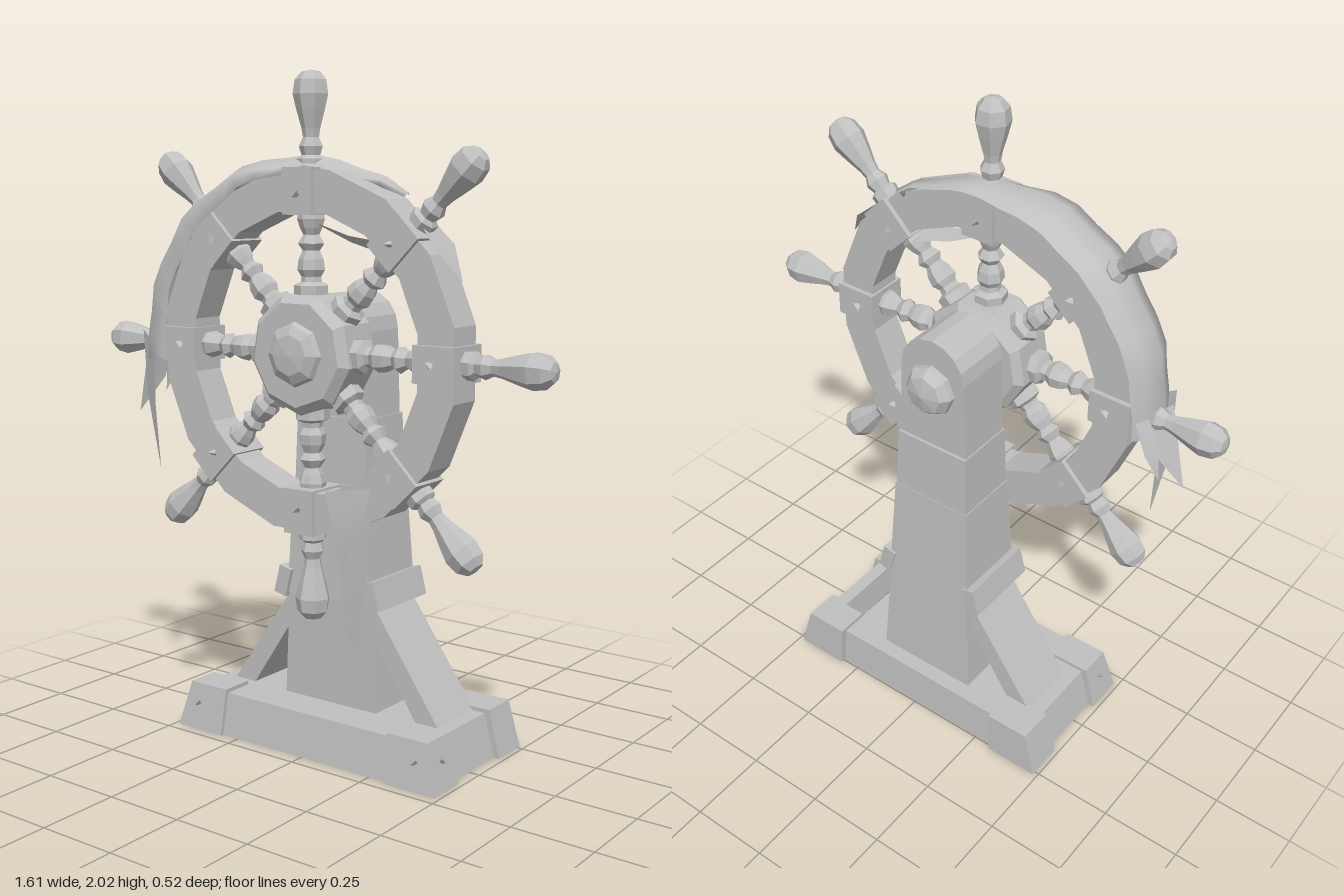
import * as THREE from 'three';

const grey = new THREE.MeshStandardMaterial({ color: 0xc0c0c0, flatShading: true });
grey.name = 'plain grey';
const cloth = new THREE.MeshStandardMaterial({ color: 0xc0c0c0, side: THREE.DoubleSide });
cloth.name = 'cloth grey';

function add(parent, name, geometry, material = grey) {
  const mesh = new THREE.Mesh(geometry, material);
  mesh.name = name;
  parent.add(mesh);
  return mesh;
}

// Box whose bottom and top rectangles [x0, x1, z0, z1] differ
function frustum(y0, a, y1, b) {
  const g = new THREE.BoxGeometry(1, 1, 1);
  const p = g.attributes.position;
  for (let i = 0; i < p.count; i++) {
    const top = p.getY(i) > 0;
    const r = top ? b : a;
    p.setXYZ(i, p.getX(i) > 0 ? r[1] : r[0], top ? y1 : y0, p.getZ(i) > 0 ? r[3] : r[2]);
  }
  g.computeVertexNormals();
  return g;
}

function lathe(points, sides) {
  return new THREE.LatheGeometry(points.map(([r, y]) => new THREE.Vector2(r, y)), sides);
}

function polygon(path, radius, sides, offset) {
  for (let i = 0; i < sides; i++) {
    const a = offset + (i / sides) * Math.PI * 2;
    path[i ? 'lineTo' : 'moveTo'](Math.cos(a) * radius, Math.sin(a) * radius);
  }
  path.closePath();
  return path;
}

// Surface through a grid of points given by rows
function sheet(rows) {
  const n = rows[0].length, index = [];
  for (let i = 0; i < rows.length - 1; i++)
    for (let j = 0; j < n - 1; j++) {
      const a = i * n + j, b = a + n;
      index.push(a, b, a + 1, b, b + 1, a + 1);
    }
  const g = new THREE.BufferGeometry();
  g.setAttribute('position', new THREE.Float32BufferAttribute(rows.flat(2), 3));
  g.setIndex(index);
  g.computeVertexNormals();
  return g;
}

function buildBase(root) {
  const base = new THREE.Group();
  base.name = 'base';
  add(base, 'basePlank', frustum(0, [-0.465, 0.465, -0.245, 0.205], 0.132, [-0.43, 0.43, -0.235, 0.185]));
  for (const s of [-1, 1]) {
    const span = (a, b) => (s > 0 ? [a, b] : [-b, -a]);
    // Corner clamps with nails
    add(base, 'backCorner', frustum(0, [...span(0.31, 0.485), -0.262, -0.14], 0.145, [...span(0.305, 0.447), -0.255, -0.14]));
    add(base, 'frontCorner', frustum(0, [...span(0.31, 0.485), 0.09, 0.217], 0.145, [...span(0.305, 0.447), 0.09, 0.195]));
    add(base, 'cornerNail', new THREE.TetrahedronGeometry(0.016)).position.set(s * 0.41, 0.085, 0.205);
    add(base, 'sideNail', new THREE.TetrahedronGeometry(0.016)).position.set(s * 0.464, 0.085, 0.15);
    // Sloping brace and its cap on the post
    const brace = new THREE.Shape();
    brace.moveTo(s * 0.395, 0.12).lineTo(s * 0.16, 0.455).lineTo(s * 0.13, 0.40).lineTo(s * 0.315, 0.12);
    const braceGeo = new THREE.ExtrudeGeometry(brace, { depth: 0.2, bevelEnabled: false });
    add(base, 'brace', braceGeo).position.z = -0.15;
    const cap = add(base, 'braceCap', new THREE.BoxGeometry(0.045, 0.09, 0.255));
    cap.position.set(s * 0.165, 0.495, -0.043);
    cap.rotation.z = s * 0.25;
  }
  root.add(base);
}

function buildPost(root) {
  const post = new THREE.Group();
  post.name = 'post';
  add(post, 'postFoot', frustum(0.12, [-0.172, 0.172, -0.185, 0.06], 0.46, [-0.152, 0.152, -0.168, 0.066]));
  add(post, 'postMiddle', frustum(0.46, [-0.155, 0.155, -0.168, 0.072], 0.82, [-0.134, 0.134, -0.151, 0.064]));
  add(post, 'postUpper', frustum(0.82, [-0.131, 0.131, -0.149, 0.06], 1.02, [-0.124, 0.124, -0.142, 0.056]));
  // Rounded head
  const head = new THREE.Shape();
  head.moveTo(-0.12, 1.02).lineTo(0.12, 1.02).lineTo(0.112, 1.275);
  for (let i = 1; i <= 8; i++) {
    const a = (i / 8) * Math.PI;
    head.lineTo(Math.cos(a) * 0.112, 1.275 + Math.sin(a) * 0.112);
  }
  const headGeo = new THREE.ExtrudeGeometry(head, { depth: 0.183, bevelEnabled: false, curveSegments: 1 });
  add(post, 'postHead', headGeo).position.z = -0.133;
  // Axle knob at the back
  const knob = add(post, 'backKnob', lathe([[0.082, -0.02], [0.08, 0.02], [0.06, 0.047], [0, 0.06]], 8));
  knob.position.set(0, 1.225, -0.13);
  knob.rotation.x = -Math.PI / 2;
  root.add(post);
}

function buildWheel(root) {
  const wheel = new THREE.Group();
  wheel.name = 'wheel';
  wheel.position.set(0, 1.22, 0.145);
  const rim = polygon(new THREE.Shape(), 0.532, 16, Math.PI / 16);
  rim.holes.push(polygon(new THREE.Path(), 0.412, 16, Math.PI / 16));
  add(wheel, 'rim', new THREE.ExtrudeGeometry(rim, { depth: 0.11, bevelEnabled: false })).position.z = -0.055;

  const spindle = lathe([[0.05, 0.15], [0.052, 0.195], [0.032, 0.205], [0.03, 0.22], [0.042, 0.24], [0.038, 0.27],
    [0.026, 0.295], [0.04, 0.315], [0.024, 0.34], [0.034, 0.36], [0.042, 0.385], [0.036, 0.42]], 7);
  const handle = lathe([[0.04, 0.5], [0.042, 0.555], [0.028, 0.565], [0.036, 0.59], [0.024, 0.615], [0.028, 0.64],
    [0.042, 0.69], [0.053, 0.735], [0.047, 0.775], [0.028, 0.797], [0, 0.803]], 7);
  for (let i = 0; i < 8; i++) {
    const spoke = new THREE.Group();
    spoke.name = 'spoke';
    spoke.rotation.z = (i * Math.PI) / 4;
    add(spoke, 'spindle', spindle).rotation.y = i;
    add(spoke, 'handle', handle).rotation.y = i * 0.7;
    add(spoke, 'rimBlock', new THREE.BoxGeometry(0.105, 0.134, 0.14)).position.y = 0.464;
    for (const z of [-0.072, 0.072])
      add(spoke, 'nail', new THREE.TetrahedronGeometry(0.017)).position.set(0, 0.455, z);
    wheel.add(spoke);
  }

  // Hub with front boss
  const hub = add(wheel, 'hub', lathe([[0, -0.09], [0.155, -0.09], [0.18, -0.07], [0.18, 0.055], [0.155, 0.08], [0, 0.08]], 9));
  hub.rotation.x = Math.PI / 2;
  const boss = add(wheel, 'frontKnob', lathe([[0.1, 0.07], [0.088, 0.095], [0.06, 0.11], [0, 0.116]], 8));
  boss.rotation.x = Math.PI / 2;
  root.add(wheel);
}

function buildCloth(root) {
  const group = new THREE.Group();
  group.name = 'tornCloth';
  // Cloth draped over the outside of the rim
  const rows = [], steps = 16;
  for (let i = 0; i <= steps; i++) {
    const t = i / steps;
    const a = THREE.MathUtils.degToRad(58 + 127 * t);
    const grow = Math.min(1, t * 1.8), open = Math.min(1, t * 2.6);
    const r = 0.535 + 0.045 * grow + 0.006 * Math.sin(i * 2.1);
    const section = [[r - 0.075 * grow, 0.088], [r - 0.022, 0.1], [r + 0.008, 0.03], [r, -0.045], [r - 0.03 * grow, -0.085]];
    rows.push(section.map(([q, z]) => [
      Math.cos(a) * q, 1.22 + Math.sin(a) * q, 0.145 - 0.085 + (z + 0.085) * (0.15 + 0.85 * open)]));
  }
  add(group, 'drape', sheet(rows), cloth);

  // Hanging shreds, each a strip narrowing to a point
  const shreds = [
    [[-0.585, 1.26, 0.24], [-0.53, 1.22, 0.25], [-0.6, 1.05, 0.21], [-0.55, 1.03, 0.23], [-0.56, 0.82, 0.2], [-0.56, 0.82, 0.2]],
    [[-0.6, 1.24, 0.2], [-0.57, 1.24, 0.11], [-0.64, 1.12, 0.18], [-0.61, 1.1, 0.12], [-0.675, 0.99, 0.17], [-0.675, 0.99, 0.17]],
    [[-0.58, 1.24, 0.1], [-0.56, 1.24, 0.06], [-0.62, 1.15, 0.1], [-0.6, 1.14, 0.06], [-0.635, 1.05, 0.09], [-0.635, 1.05, 0.09]],
    [[0.1, 0.83, 0.215], [0.265, 0.86, 0.215], [0.13, 0.74, 0.225], [0.235, 0.75, 0.225], [0.175, 0.64, 0.22], [0.175, 0.64, 0.22]],
    [[0.12, 0.76, 0.205], [0.255, 0.8, 0.205], [0.15, 0.55, 0.205], [0.245, 0.6, 0.21], [0.18, 0.375, 0.2], [0.215, 0.375, 0.2]],
    [[0, 1.6, 0.15], [0, 1.6, 0.15], [0.15, 1.56, 0.17], [0.13, 1.54, 0.13], [0.33, 1.54, 0.2], [0.3, 1.49, 0.11]],
    [[0.37, 1.62, 0.16], [0.36, 1.61, 0.07], [0.445, 1.54, 0.19], [0.445, 1.54, 0.08], [0.51, 1.44, 0.14], [0.51, 1.44, 0.14]],
  ];
  for (const p of shreds)
    add(group, 'shred', sheet([[p[0], p[1]], [p[2], p[3]], [p[4], p[5]]]), cloth);
  root.add(group);
}

export function createModel() {
  const root = new THREE.Group();
  root.name = 'shipWheel';
  buildBase(root);
  buildPost(root);
  buildWheel(root);
  buildCloth(root);
  return root;
}
